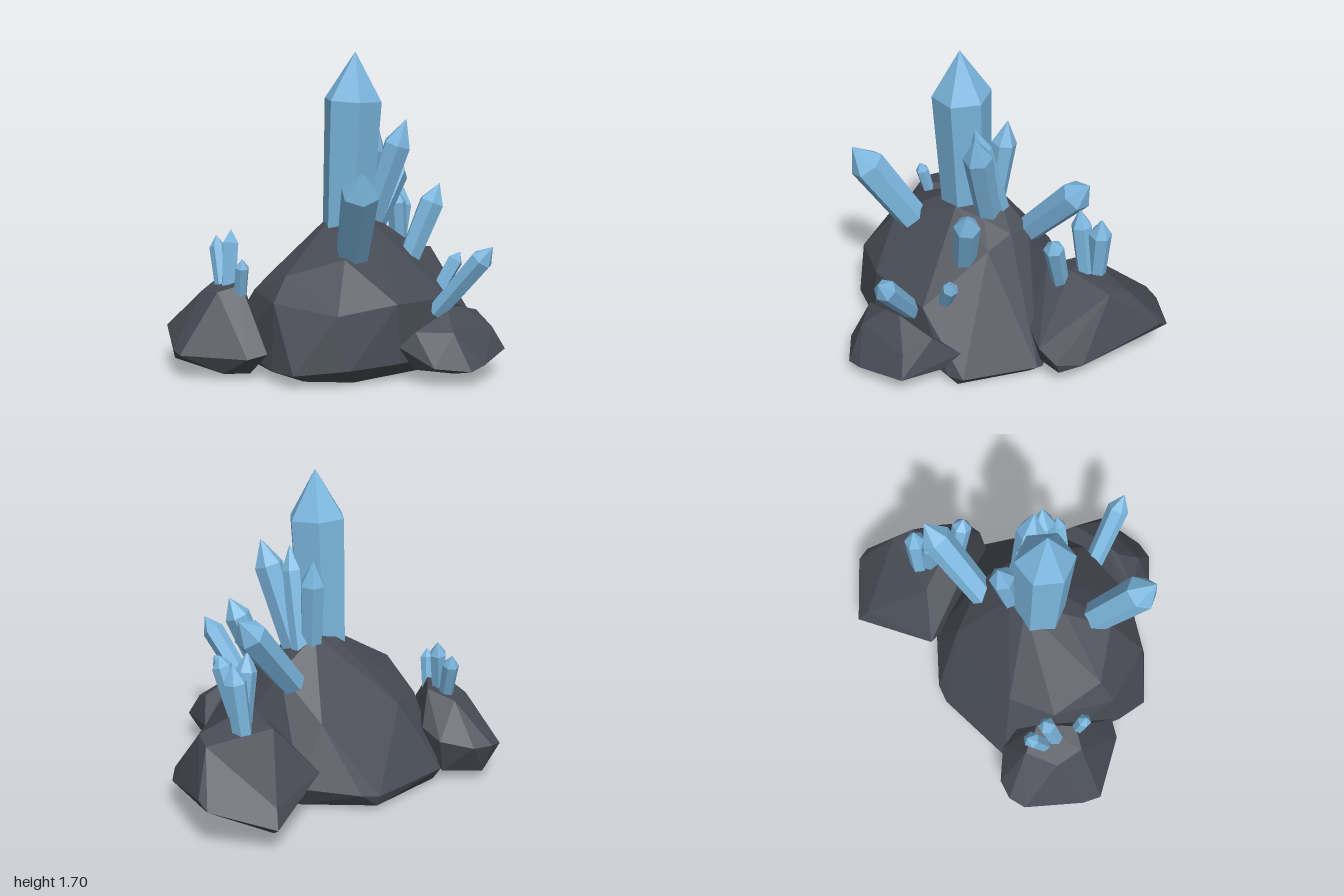
import * as THREE from 'three';
import { ConvexGeometry } from 'three/addons/geometries/ConvexGeometry.js';

const rockGrey = new THREE.MeshStandardMaterial({ color: 0x474b54 });
rockGrey.name = 'rock grey';
const crystalBlue = new THREE.MeshStandardMaterial({ color: 0x7bb6de });
crystalBlue.name = 'crystal blue';

// A faceted boulder: the hull of a few corner points
function rock(name, points) {
  const mesh = new THREE.Mesh(new ConvexGeometry(points.map(p => new THREE.Vector3(...p))), rockGrey);
  mesh.name = name;
  return mesh;
}

// A six-sided shaft, slightly wider at the shoulder, ending in a point
function crystal(name, base, tip, radius, shoulder = 0.76, turn = 0) {
  const from = new THREE.Vector3(...base);
  const axis = new THREE.Vector3(...tip).sub(from);
  const length = axis.length();
  const profile = [[0, -0.06], [radius * 0.85, -0.06], [radius, length * shoulder], [0, length]];
  const geometry = new THREE.LatheGeometry(profile.map(p => new THREE.Vector2(...p)), 6, turn).toNonIndexed();
  geometry.computeVertexNormals();
  const mesh = new THREE.Mesh(geometry, crystalBlue);
  mesh.name = name;
  mesh.position.copy(from);
  mesh.quaternion.setFromUnitVectors(new THREE.Vector3(0, 1, 0), axis.normalize());
  return mesh;
}

export function createModel() {
  const model = new THREE.Group();
  model.name = 'crystalCluster';

  // Boulders
  model.add(rock('mainRock', [
    // crown
    [-0.04, 0.85, -0.14], [0.06, 0.84, -0.17], [-0.17, 0.76, 0.04], [0, 0.78, 0.07], [0.16, 0.75, 0],
    [0.29, 0.69, -0.08], [0.29, 0.64, 0.08], [0.3, 0.68, -0.2],
    // shoulders
    [-0.34, 0.63, 0.23], [-0.55, 0.54, 0], [-0.65, 0.41, 0.02], [-0.5, 0.37, 0.35], [-0.2, 0.41, 0.48],
    [0.2, 0.39, 0.46], [-0.52, 0.42, -0.3], [-0.3, 0.45, -0.45], [0.2, 0.45, -0.45],
    // skirt
    [-0.7, 0.07, 0.23], [-0.69, 0.06, 0.05], [-0.47, 0.09, 0.41], [-0.2, 0.1, 0.5], [0.43, 0.07, 0.47],
    [0.51, 0.07, 0.43], [0.68, 0.07, 0.05], [0.67, 0.05, 0], [0.37, 0.14, -0.5], [0.1, 0.1, -0.68],
    [0, 0.08, -0.7], [-0.47, 0.09, -0.62], [-0.58, 0.12, -0.4],
    // underside
    [-0.6, 0.02, 0.2], [-0.4, 0.01, 0.36], [0.45, 0, 0.42], [0.62, 0.01, 0.05], [0.33, 0.02, -0.45],
    [0, 0.02, -0.68], [-0.45, 0.02, -0.58],
  ]));
  model.add(rock('leftRock', [
    [0.46, 0.52, -0.2], [0.6, 0.54, -0.25], [0.85, 0.5, -0.3], [0.88, 0.48, -0.42], [0.5, 0.5, -0.45],
    [1, 0.27, -0.55], [0.99, 0.23, -0.62], [0.9, 0.16, -0.08], [0.82, 0.17, 0.04],
    [0.7, 0.22, 0.06], [0.58, 0.26, 0.02], [0.71, 0.14, -0.83], [0.68, 0.23, -0.77], [0.3, 0.25, -0.58],
    [0.82, 0.11, 0.02], [0.65, 0.08, 0], [0.68, 0.08, -0.74], [0.4, 0.1, -0.3],
  ]));
  model.add(rock('frontRock', [
    [-0.21, 0.19, 0.5], [-0.15, 0.27, 0.56], [0.05, 0.36, 0.6], [0.15, 0.37, 0.58], [0.36, 0.31, 0.52],
    [0.44, 0.19, 0.39], [0.41, 0.12, 0.5], [0.36, 0.13, 0.73], [0.31, 0.25, 0.68], [0.1, 0.1, 0.82],
    [0, 0.08, 0.82], [-0.15, 0.1, 0.7], [-0.02, 0.27, 0.71], [-0.15, 0.07, 0.55], [0.29, 0.05, 0.65],
    [0, 0.05, 0.7], [0.2, 0.06, 0.42],
  ]));
  model.add(rock('rightRock', [
    [-0.77, 0.44, -0.3], [-0.65, 0.47, -0.25], [-0.52, 0.48, -0.42], [-0.6, 0.44, -0.56], [-0.76, 0.42, -0.46],
    [-1, 0.13, -0.33], [-0.97, 0.14, -0.43], [-0.8, 0.2, -0.72], [-0.71, 0.22, -0.76], [-0.6, 0.22, -0.74],
    [-0.46, 0.25, -0.62], [-0.43, 0.3, -0.5], [-0.78, 0.12, -0.04], [-0.68, 0.14, 0], [-0.96, 0.1, -0.34],
    [-0.83, 0.03, -0.18], [-0.7, 0.02, -0.12], [-0.7, 0.05, -0.7], [-0.5, 0.06, -0.6], [-0.88, 0.06, -0.54],
  ]));

  // Crystals on the main rock: base, tip, radius, shoulder, turn
  model.add(
    crystal('mainCrystal', [-0.06, 0.7, -0.06], [-0.05, 1.7, 0], 0.161, 0.74, Math.PI / 6),
    crystal('rightFrontCrystal', [-0.23, 0.59, 0.16], [-0.42, 1.11, 0.45], 0.1, 0.78, 0.5),
    crystal('tallSideCrystal', [0.12, 0.75, -0.06], [0.22, 1.33, 0.12], 0.08, 0.76, 0.3),
    crystal('slimSideCrystal', [0.13, 0.75, -0.14], [0.1, 1.3, 0.02], 0.06, 0.76, 0.2),
    crystal('backCrystal', [0.07, 0.79, -0.15], [0.1, 1.27, -0.21], 0.07, 0.72, 0.5),
    crystal('leaningCrystal', [0.28, 0.66, -0.24], [0.625, 1.07, -0.33], 0.088, 0.78),
    crystal('leftFrontCrystal', [0.2, 0.58, 0.17], [0.34, 0.98, 0.26], 0.072, 0.74, 0.3),
    crystal('lowCrystal', [0.26, 0.43, 0.35], [0.37, 0.61, 0.39], 0.043, 0.75),
  );

  // Crystals on the smaller rocks
  model.add(
    crystal('frontRockCrystal', [0.12, 0.37, 0.5], [0.22, 0.7, 0.76], 0.063, 0.78),
    crystal('leftRockCrystalA', [0.57, 0.52, -0.19], [0.61, 0.81, -0.09], 0.056, 0.8, 0.3),
    crystal('leftRockCrystalB', [0.62, 0.52, -0.34], [0.57, 0.9, -0.32], 0.058, 0.73),
    crystal('leftRockCrystalC', [0.65, 0.5, -0.39], [0.69, 0.87, -0.37], 0.062, 0.73, 0.4),
    crystal('rightRockCrystalA', [-0.62, 0.46, -0.46], [-0.59, 0.7, -0.54], 0.045, 0.74),
    crystal('rightRockCrystalB', [-0.63, 0.46, -0.38], [-0.58, 0.745, -0.42], 0.048, 0.74, 0.4),
    crystal('rightRockCrystalC', [-0.66, 0.45, -0.24], [-0.68, 0.62, -0.2], 0.039, 0.72, 0.2),
  );
  return model;
}
